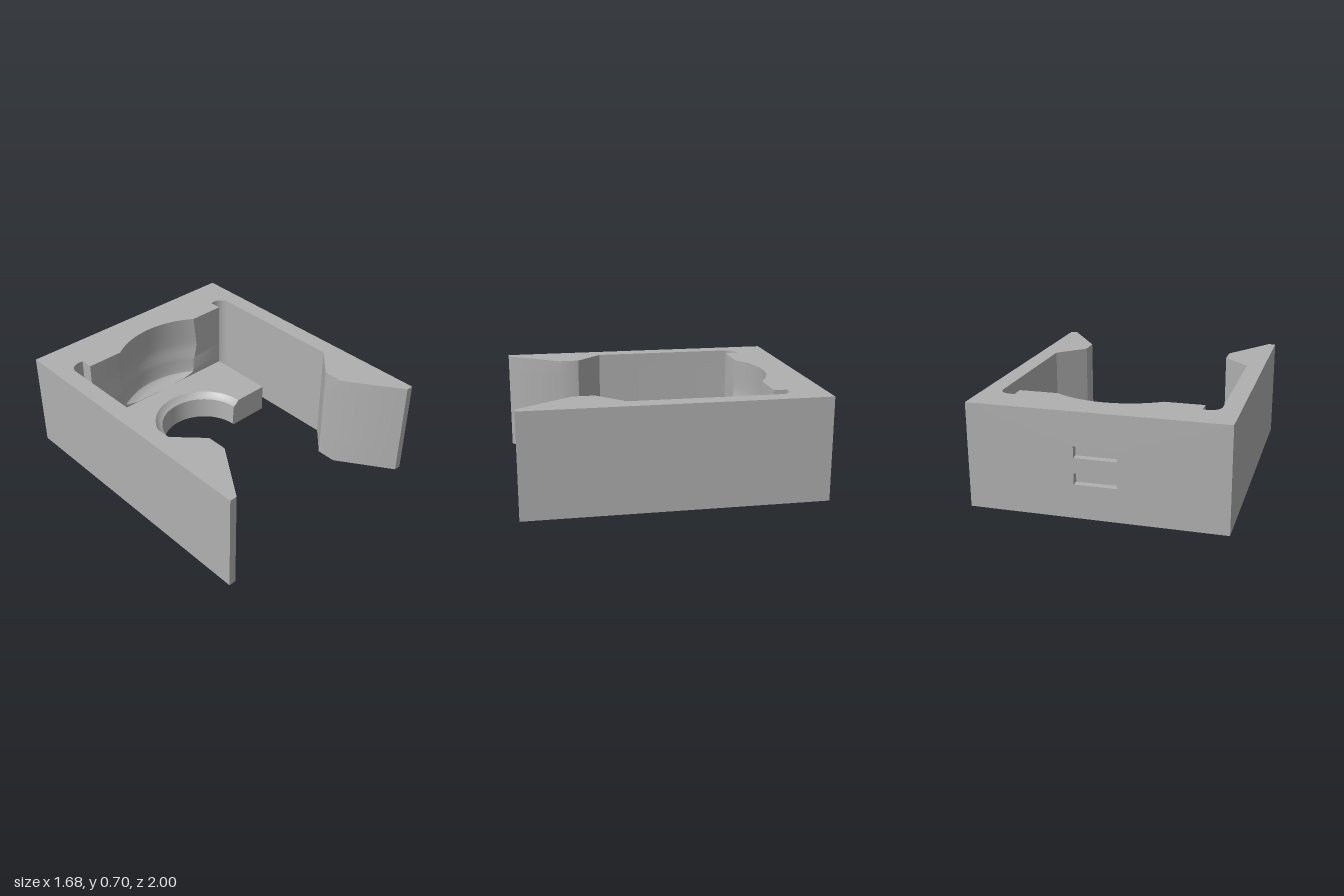
import * as THREE from 'three';
import { toCreasedNormals } from 'three/addons/utils/BufferGeometryUtils.js';

const AXIS_Z = -0.175;  // vertical axis shared by both round cut-outs
const WALL_Z = -0.67;   // front of the back wall
const HEIGHT = 0.7;

// Points on a circle about (cx, cz); angle 0 points to +x, 90 degrees to -z
function arc(cx, cz, r, from, to, n) {
  return Array.from({ length: n + 1 }, (_, i) => {
    const t = from + (to - from) * i / n;
    return [cx + r * Math.cos(t), cz - r * Math.sin(t)];
  });
}

// Completes a right half outline (ending near x = 0) by mirroring, counter-clockwise from above
function mirrored(half) {
  const left = half.filter(p => p[0] > 1e-6).map(([x, z]) => [-x, z]).reverse();
  return [...half, ...left].reverse();
}

// Stacks outlines, one per [radius, y] level, into a closed solid
function loft(levels, outline) {
  const rings = levels.map(([r, y]) => outline(r).map(([x, z]) => [x, y, z]));
  const pos = [];
  const n = rings[0].length;
  for (let k = 0; k < rings.length - 1; k++) {
    const lo = rings[k], hi = rings[k + 1];
    for (let i = 0; i < n; i++) {
      const j = (i + 1) % n;
      pos.push(...lo[i], ...lo[j], ...hi[j], ...lo[i], ...hi[j], ...hi[i]);
    }
  }
  const cap = (ring, up) => {
    const flat = ring.map(([x, , z]) => new THREE.Vector2(x, -z));
    for (const [a, b, c] of THREE.ShapeUtils.triangulateShape(flat, [])) {
      pos.push(...ring[a], ...ring[up ? b : c], ...ring[up ? c : b]);
    }
  };
  cap(rings[0], false);
  cap(rings[rings.length - 1], true);
  const geo = new THREE.BufferGeometry();
  geo.setAttribute('position', new THREE.Float32BufferAttribute(pos, 3));
  return toCreasedNormals(geo, 0.6);
}

// U-shaped frame: back wall with a round recess, two arms with hooked ends
function frameOutline(r) {
  const a = Math.acos((AXIS_Z - WALL_Z) / r);
  return mirrored([
    [0.84, -0.95], [0.84, 1], [0.79, 1], [0.54, 0.63], [0.54, 0.49], [0.72, 0.31],
    ...arc(0.645, -0.685, 0.075, 0, Math.PI / 2, 8),
    [0.61, -0.76], [0.61, WALL_Z],
    ...arc(0, AXIS_Z, r, Math.PI / 2 - a, Math.PI / 2, 20),
  ]);
}

// Ledge with a half-round opening in its front edge
function ledgeOutline(r) {
  return mirrored([
    [0.0, WALL_Z], [0.61, WALL_Z], [0.61, AXIS_Z],
    ...arc(0, AXIS_Z, r, 0, Math.PI / 2, 24),
  ]);
}

export function createModel() {
  const group = new THREE.Group();
  const grey = new THREE.MeshStandardMaterial({ color: 0xb0b0b0 });
  grey.name = 'grey plastic';
  const add = (name, geo) => {
    const mesh = new THREE.Mesh(geo, grey);
    mesh.name = name;
    group.add(mesh);
    return mesh;
  };

  // Frame, with the recess profile running from its rounded foot to the top
  add('frame', loft([
    [0.4955, 0], [0.4955, 0.205], [0.545, 0.208], [0.58, 0.222], [0.595, 0.235],
    [0.602, 0.265], [0.603, 0.34], [0.607, 0.375], [0.614, 0.415], [0.618, 0.45],
    [0.618, 0.49], [0.613, 0.57], [0.605, HEIGHT],
  ], frameOutline));

  // Ledge, with a flared upper rim and a small lip at the bottom
  add('ledge', loft([
    [0.308, 0], [0.295, 0.01], [0.305, 0.165], [0.318, 0.172], [0.334, 0.184], [0.352, 0.205],
  ], ledgeOutline));

  // Back panel with two shallow slots
  const panel = new THREE.Shape([[-0.84, 0], [0.84, 0], [0.84, HEIGHT], [-0.84, HEIGHT]]
    .map(p => new THREE.Vector2(...p)));
  for (const y of [0.225, 0.4]) {
    panel.holes.push(new THREE.Path([[-0.14, y], [-0.14, y + 0.075], [0.14, y + 0.075], [0.14, y]]
      .map(p => new THREE.Vector2(...p))));
  }
  const back = add('backPanel', new THREE.ExtrudeGeometry(panel, { depth: 0.05, bevelEnabled: false }));
  back.position.z = -1;

  return group;
}
